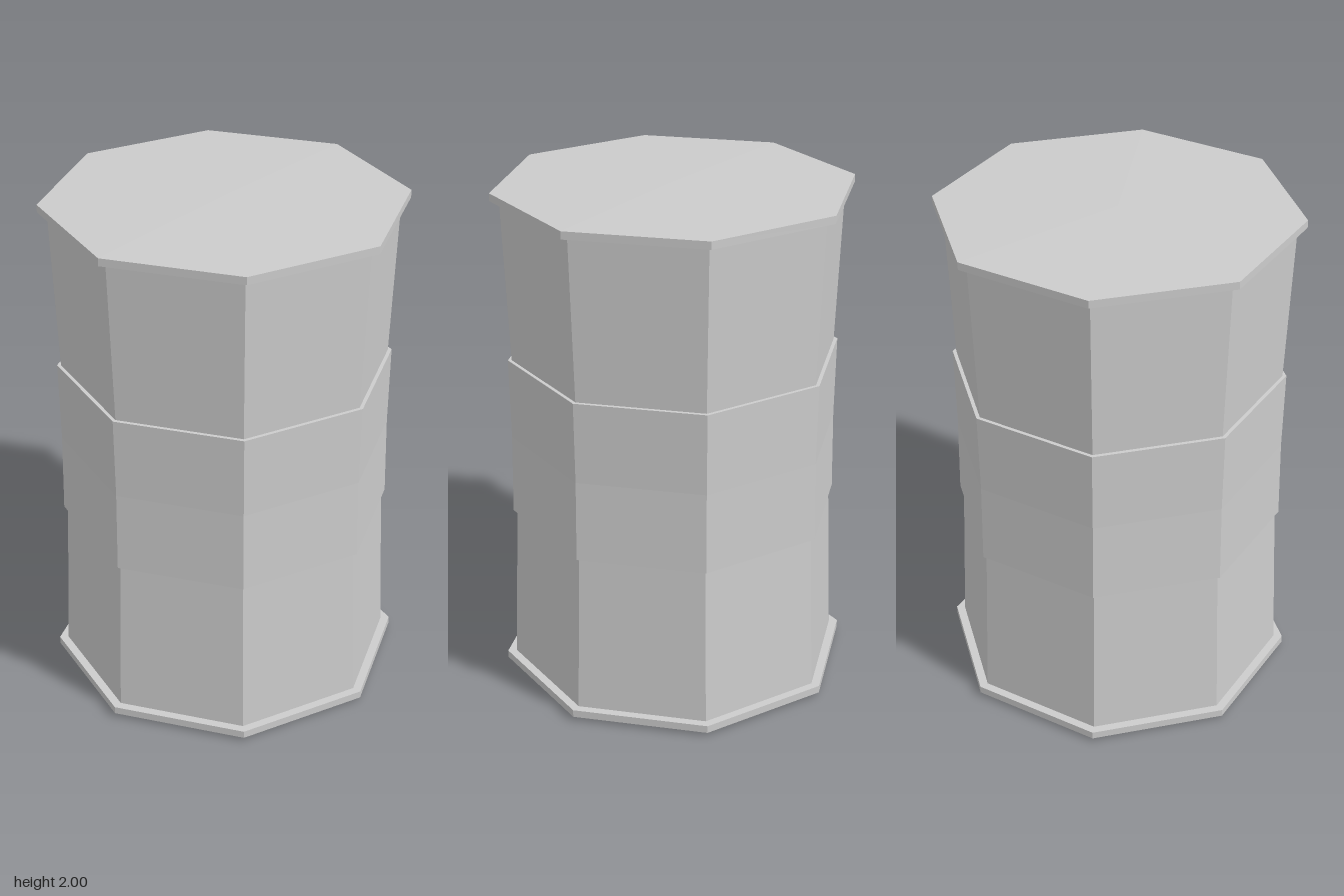
import * as THREE from 'three';

const SIDES = 8;

export function createModel() {
  const group = new THREE.Group();
  group.name = 'barrel';
  const material = new THREE.MeshStandardMaterial({ color: 0xcccccc, flatShading: true });

  // Eight-sided ring or solid from a [radius, height] profile, listed bottom to top
  const turned = (name, profile) => {
    const points = profile.map(([r, y]) => new THREE.Vector2(r, y));
    const mesh = new THREE.Mesh(new THREE.LatheGeometry(points, SIDES), material);
    mesh.name = name;
    group.add(mesh);
  };

  // Slightly domed lids with a thin overhanging rim
  turned('bottomLid', [[0, 0], [0.38, 0.007], [0.695, 0.015], [0.695, 0.045], [0.655, 0.045]]);
  turned('topLid', [[0.655, 1.96], [0.695, 1.96], [0.695, 1.99], [0.38, 1.995], [0, 2]]);

  // Walls narrowing toward the raised middle band
  turned('lowerWall', [[0.66, 0.04], [0.635, 0.685]]);
  turned('middleBand', [[0.63, 0.685], [0.65, 0.685], [0.645, 1.005], [0.65, 1.325], [0.63, 1.325]]);
  turned('upperWall', [[0.635, 1.325], [0.66, 1.965]]);

  return group;
}
